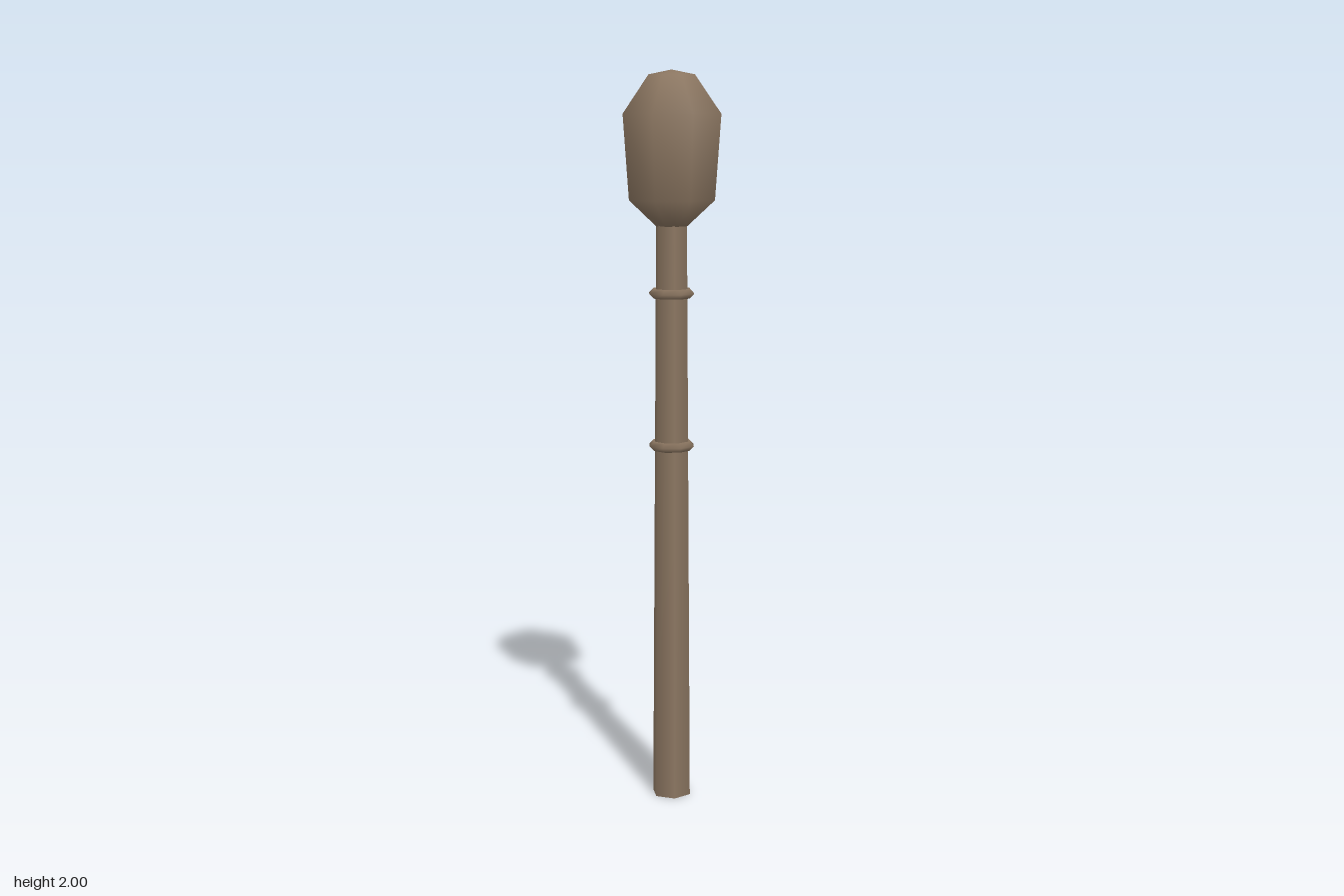
import * as THREE from 'three';

export function createModel() {
  const group = new THREE.Group();
  const wood = new THREE.MeshStandardMaterial({ color: 0x8a7560 });
  wood.name = 'brown wood';

  const add = (name, geometry, y = 0) => {
    const mesh = new THREE.Mesh(geometry, wood);
    mesh.name = name;
    mesh.position.y = y;
    group.add(mesh);
    return mesh;
  };

  // Tapered hexagonal handle, with corners pointing along x
  const shaft = new THREE.CylinderGeometry(0.044, 0.055, 1.62, 6);
  shaft.rotateY(Math.PI / 2);
  add('shaft', shaft, 0.81);

  // Thin eight-sided binding rings with a diamond section
  for (const [name, y] of [['lowerRing', 0.995], ['upperRing', 1.41]]) {
    const ring = new THREE.TorusGeometry(0.052, 0.013, 4, 8);
    ring.rotateX(Math.PI / 2);
    add(name, ring, y);
  }

  // Eight-sided bulbous head, as radius and height from the underside to the crown
  const profile = [
    [0, 1.59], [0.045, 1.59], [0.123, 1.66], [0.14, 1.885], [0.066, 1.987], [0, 2],
  ].map(([r, y]) => new THREE.Vector2(r, y));
  const head = new THREE.LatheGeometry(profile, 8);
  head.rotateY(Math.PI / 2);
  add('head', head);

  return group;
}
